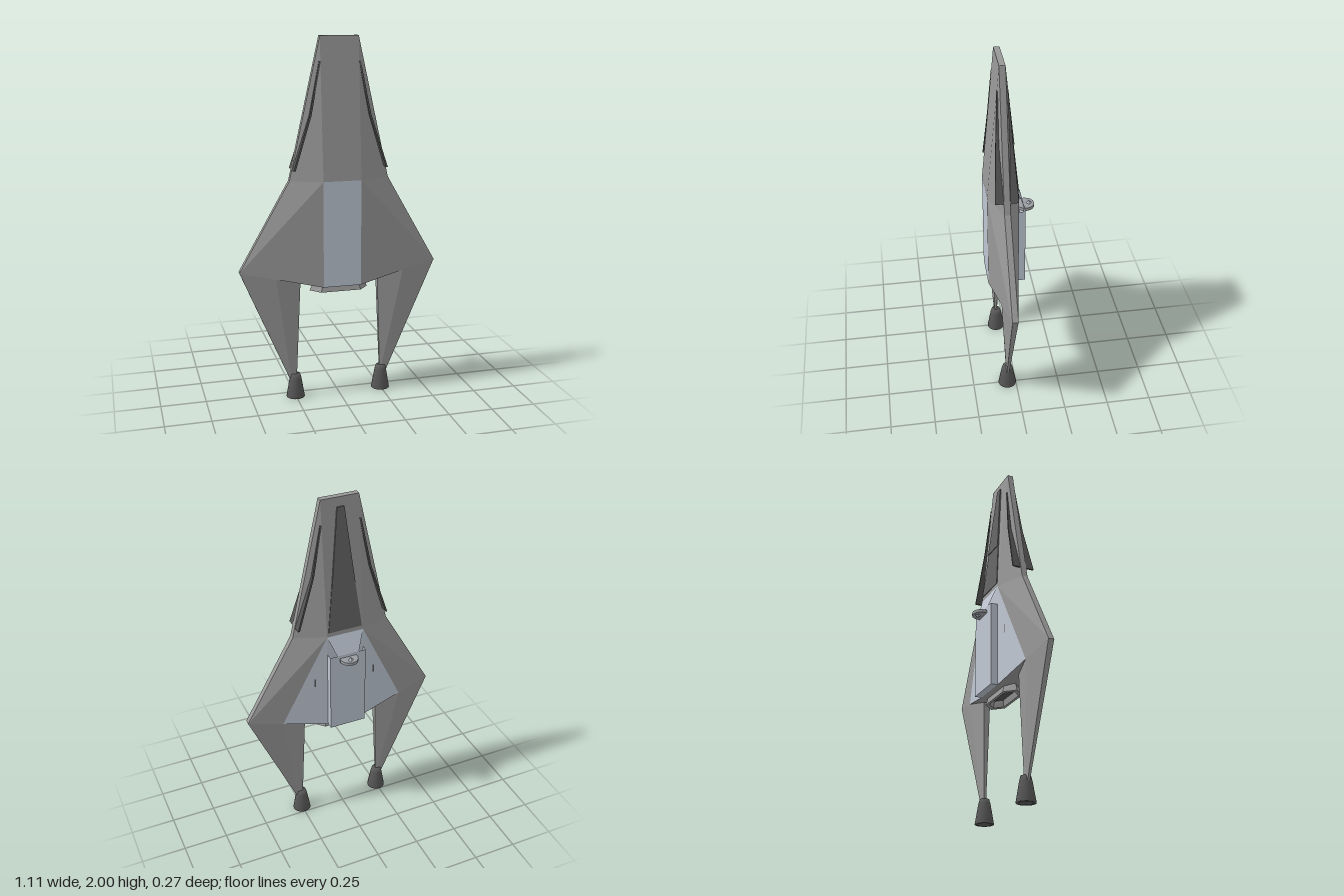
import * as THREE from 'three';

const mat = (name, color) => {
  const m = new THREE.MeshStandardMaterial({ color, side: THREE.DoubleSide });
  m.name = name;
  return m;
};

// Flat-shaded mesh from convex polygons given as lists of [x, y, z]
function polyMesh(name, material, polys) {
  const pos = [];
  for (const p of polys)
    for (let i = 1; i < p.length - 1; i++) pos.push(...p[0], ...p[i], ...p[i + 1]);
  const g = new THREE.BufferGeometry();
  g.setAttribute('position', new THREE.Float32BufferAttribute(pos, 3));
  g.computeVertexNormals();
  const mesh = new THREE.Mesh(g, material);
  mesh.name = name;
  return mesh;
}

// Side walls joining successive closed loops of points
function loft(loops) {
  const out = [];
  for (let k = 0; k < loops.length - 1; k++) {
    const a = loops[k], b = loops[k + 1];
    a.forEach((p, i) => {
      const j = (i + 1) % a.length;
      out.push([p, a[j], b[j], b[i]]);
    });
  }
  return out;
}

const MID = 0.05; // depth of the hull's middle plane

export function createModel() {
  const model = new THREE.Group();
  model.name = 'spacecraft';
  const hullGrey = mat('hull grey', 0x989898);
  const panelBlue = mat('pale blue panel', 0xbfc7d3);
  const finDark = mat('dark fin', 0x555555);
  const glass = mat('dark glass', 0x646464);
  const footDark = mat('foot dark', 0x585858);
  const turretGrey = mat('turret grey', 0x9a9da1);

  // Hull corners: x, y, half thickness
  const A = [0.105, 2, 0.016], B = [0.105, 1.24, 0.085], C = [0.275, 1.24, 0.016];
  const D = [0.555, 0.75, 0.016], E = [0.105, 0.655, 0.085], M = [0.36, 0.709, 0.046];
  const G = [0.22, 0.68, 0.018], F = [0.245, 0.08, 0.006], H = [0.272, 0.08, 0.006];
  const at = (p, sx, sz) => [p[0] * sx, p[1], MID + p[2] * sz];

  const hull = [], legs = [], sidePanels = [], strips = [];
  for (const sx of [1, -1]) {
    for (const sz of [1, -1]) {
      const face = (...ps) => ps.map(p => at(p, sx, sz));
      hull.push(face(A, B, C), face(B, C, D), face(B, M, D));
      (sz > 0 ? hull : sidePanels).push(face(B, E, M));
      legs.push(face(M, G, F), face(M, F, H), face(M, H, D));
    }
    // thin outer edges and underside
    const edge = (p, q) => [at(p, sx, 1), at(q, sx, 1), at(q, sx, -1), at(p, sx, -1)];
    hull.push(edge(A, C), edge(C, D), edge(E, M));
    legs.push(edge(D, H), edge(H, F), edge(F, G));
  }
  for (const sz of [1, -1]) {
    const span = (p, q) => [at(p, 1, sz), at(q, 1, sz), at(q, -1, sz), at(p, -1, sz)];
    hull.push(span(A, B));
    strips.push(span(B, E));
  }
  for (const p of [A, E]) hull.push([at(p, 1, 1), at(p, -1, 1), at(p, -1, -1), at(p, 1, -1)]);
  model.add(polyMesh('hull', hullGrey, hull));
  model.add(polyMesh('legs', hullGrey, legs));
  model.add(polyMesh('rearSidePanels', panelBlue, sidePanels));
  model.add(polyMesh('centreStrips', panelBlue, strips));

  // Raised rear hatch with a tapering ramp above it
  const w = 0.105, zr = MID - 0.085, zh = -0.073, top = 1.13, low = 0.655;
  const hatch = [
    [[w, top, zh], [w, low, zh], [-w, low, zh], [-w, top, zh]],
    [[w, low, zr], [-w, low, zr], [-w, low, zh], [w, low, zh]],
    [[w, 1.24, zr], [-w, 1.24, zr], [-0.064, top, zh], [0.064, top, zh]],
  ];
  for (const s of [w, -w]) hatch.push([[s, top, zr], [s, low, zr], [s, low, zh], [s, top, zh]]);
  model.add(polyMesh('rearHatch', panelBlue, hatch));

  // Cockpit glass on the rear of the nose
  const noseZ = y => MID - 0.085 + 0.069 * (y - 1.24) / 0.76;
  const pane = (name, y0, w0, y1, w1, off) => {
    const ring = d => [[w0, y0, noseZ(y0) - d], [-w0, y0, noseZ(y0) - d],
      [-w1, y1, noseZ(y1) - d], [w1, y1, noseZ(y1) - d]];
    model.add(polyMesh(name, glass, [ring(off), ...loft([ring(0), ring(off)])]));
  };
  pane('lowerWindow', 1.265, 0.097, 1.53, 0.066, 0.004);
  pane('upperWindow', 1.53, 0.066, 1.95, 0.02, 0.008);

  // Bent side fins: x, y, half depth
  const finPath = [[0.108, 1.87, 0.029], [0.163, 1.59, 0.045], [0.255, 1.3, 0.062]];
  for (const s of [1, -1]) {
    const loops = finPath.map(([x, y, h]) => [
      [s * (x - 0.005), y, MID - h], [s * (x + 0.005), y, MID - h],
      [s * (x + 0.005), y, MID + h], [s * (x - 0.005), y, MID + h]]);
    model.add(polyMesh(s > 0 ? 'leftFin' : 'rightFin', finDark,
      [...loft(loops), loops[0], loops[2]]));

    // dark slit on the rear side panel
    const z = -0.026;
    model.add(polyMesh('panelSlit', finDark, [[
      [s * 0.172, 0.98, z], [s * 0.18, 0.98, z], [s * 0.18, 0.93, z], [s * 0.172, 0.93, z]]]));

    // tapered foot with a hollow underside
    const profile = [[0, 0.135], [0.026, 0.135], [0.033, 0.11], [0.052, 0], [0.034, 0], [0.026, 0.03], [0, 0.03]]
      .map(([r, y]) => new THREE.Vector2(r, y));
    const foot = new THREE.Mesh(new THREE.LatheGeometry(profile.reverse(), 20), footDark);
    foot.name = s > 0 ? 'leftFoot' : 'rightFoot';
    foot.position.set(s * 0.25, 0, MID);
    model.add(foot);
  }

  // Engine nozzle: flared six-sided frame with a recess
  const hex = (x, d, y) => [[x, y, MID], [x * 0.68, y, MID + d], [-x * 0.68, y, MID + d],
    [-x, y, MID], [-x * 0.68, y, MID - d], [x * 0.68, y, MID - d]];
  model.add(polyMesh('engineNozzle', hullGrey,
    loft([hex(0.145, 0.045, 0.665), hex(0.165, 0.058, 0.618), hex(0.135, 0.043, 0.618), hex(0.12, 0.035, 0.652)])));
  model.add(polyMesh('engineRecess', finDark, [hex(0.12, 0.035, 0.652)]));

  // Rear turret: flat disc with a small faceted stud
  const disc = new THREE.Mesh(new THREE.CylinderGeometry(0.05, 0.05, 0.018, 16), turretGrey);
  disc.name = 'turretDisc';
  disc.position.set(0, 1.103, -0.086);
  const stud = new THREE.Mesh(new THREE.OctahedronGeometry(0.025), panelBlue);
  stud.name = 'turretStud';
  stud.position.set(0, 1.103, -0.107);
  model.add(disc, stud);

  return model;
}
